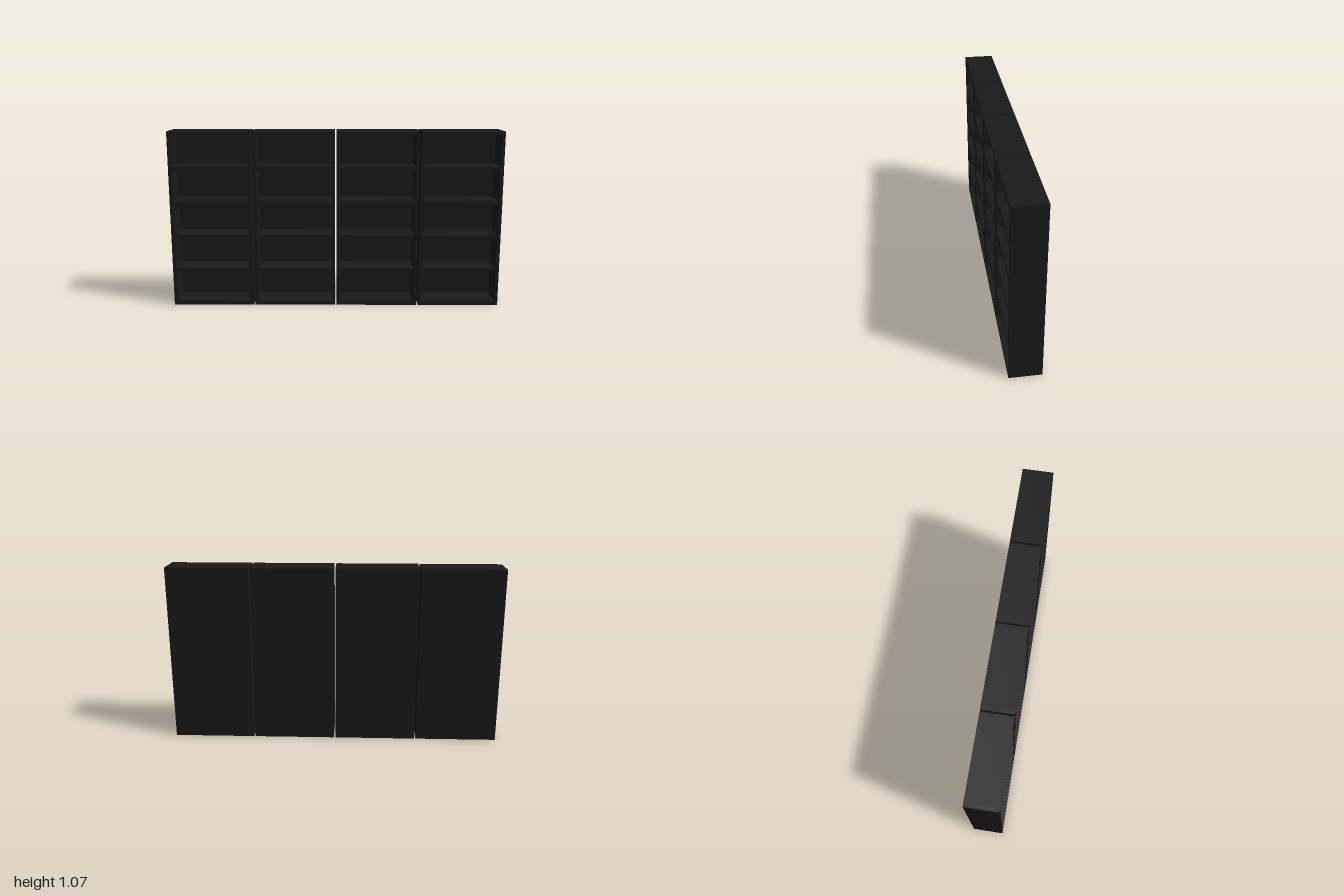
import * as THREE from 'three';

const H = 1.07, D = 0.184, W = 0.4925, GAP = 0.01; // case height, depth, width, spacing
const T = 0.02, BASE = 0.025, SHELVES = 4;         // board and base thickness

const material = new THREE.MeshStandardMaterial({ color: 0x1a1a1a });

function board(parent, name, w, h, d, x, y, z) {
  const mesh = new THREE.Mesh(new THREE.BoxGeometry(w, h, d), material);
  mesh.name = name;
  mesh.position.set(x, y, z);
  parent.add(mesh);
}

function createBookcase() {
  const bookcase = new THREE.Group();
  const inner = W - 2 * T;

  // Full-height sides
  board(bookcase, 'rightSide', T, H, D, -(W - T) / 2, H / 2, 0);
  board(bookcase, 'leftSide', T, H, D, (W - T) / 2, H / 2, 0);

  // Top, base and back panel fitted between the sides
  board(bookcase, 'top', inner, T, D, 0, H - T / 2, 0);
  board(bookcase, 'base', inner, BASE, D, 0, BASE / 2, 0);
  board(bookcase, 'backPanel', inner, H - T - BASE, T, 0, (H - T + BASE) / 2, (T - D) / 2);

  // Evenly spaced shelves, flush with the front
  const opening = (H - T - BASE - SHELVES * T) / (SHELVES + 1);
  for (let i = 1; i <= SHELVES; i++) {
    const y = BASE + i * opening + (i - 0.5) * T;
    board(bookcase, 'shelf' + i, inner, T, D - T, 0, y, T / 2);
  }
  return bookcase;
}

export function createModel() {
  const model = new THREE.Group();
  model.name = 'bookcaseRow';
  // Four separate bookcases side by side
  for (let i = 0; i < 4; i++) {
    const bookcase = createBookcase();
    bookcase.name = 'bookcase' + (i + 1);
    bookcase.position.x = (i - 1.5) * (W + GAP);
    model.add(bookcase);
  }
  return model;
}
